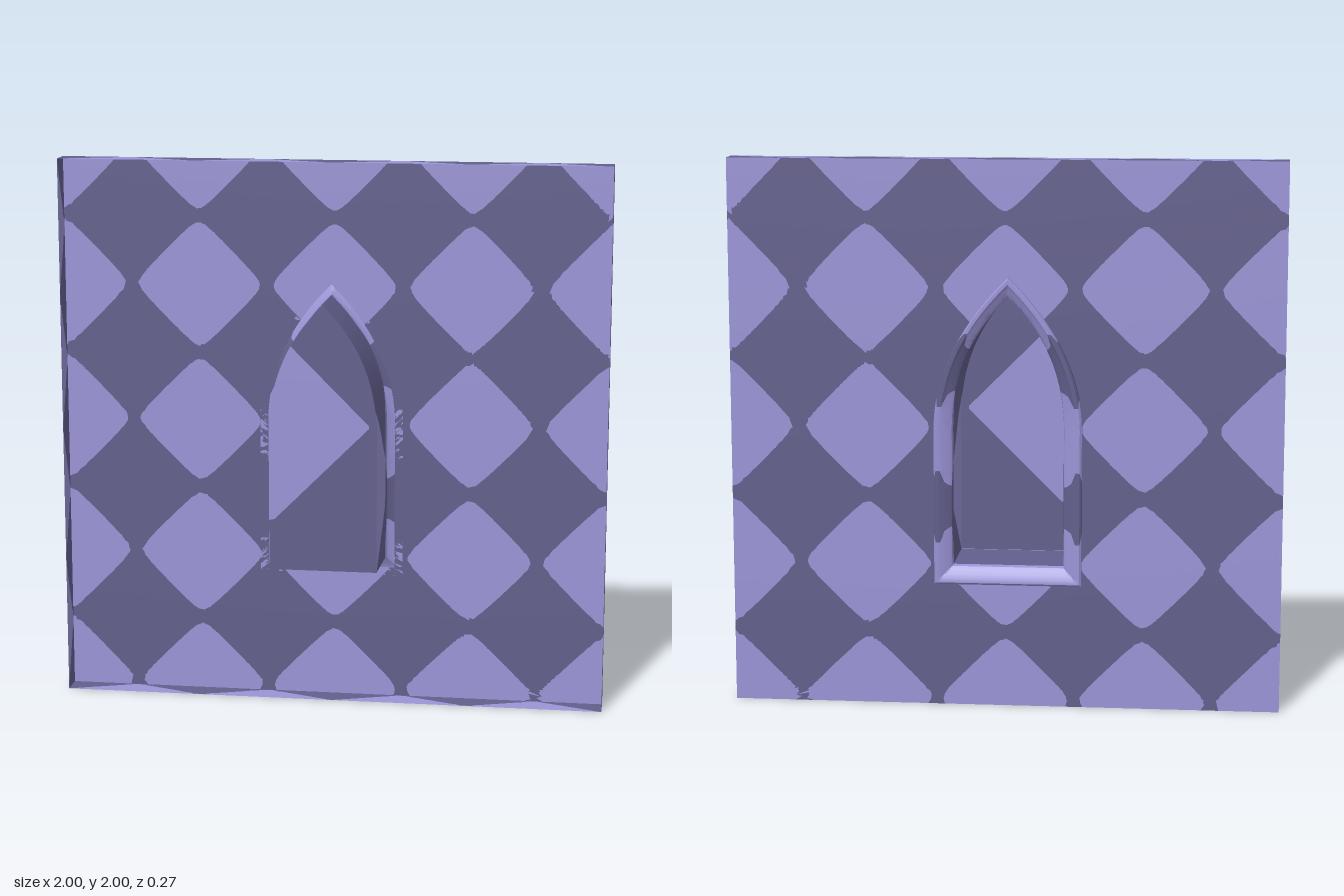
import * as THREE from 'three';
import { toCreasedNormals } from 'three/addons/utils/BufferGeometryUtils.js';

const N = 50;            // points per outline piece
const CX = -0.012;       // centre line of the arch
const BACK = -0.09;      // plane of the wall
const FRONT = 0.135;     // front of the niche

const light = new THREE.MeshStandardMaterial({ color: 0x9a94d6, side: THREE.DoubleSide });
light.name = 'light lavender';
const dark = new THREE.MeshStandardMaterial({ color: 0x625f8c, side: THREE.DoubleSide });
dark.name = 'dark lavender';

const v2 = (x, y) => new THREE.Vector2(x, y);

// Sample five matching pieces so that every outline has the same point count
function sample(pieces) {
  return pieces.flatMap((c) => Array.from({ length: N }, (_, i) => c.getPoint(i / N)));
}

// Pointed arch, grown outward by d
function arch(d) {
  const w = 0.2 + d, b = 0.53 - d, top = 1.51 + 1.1 * d;
  const P = (s, y) => v2(CX + s * w, y);
  const tip = v2(CX, top);
  const spring = 1.03;
  return sample([
    new THREE.LineCurve(P(-1, b), P(1, b)),
    new THREE.LineCurve(P(1, b), P(1, spring)),
    new THREE.QuadraticBezierCurve(P(1, spring), P(1, spring + 0.29), tip),
    new THREE.QuadraticBezierCurve(tip, P(-1, spring + 0.29), P(-1, spring)),
    new THREE.LineCurve(P(-1, spring), P(-1, b)),
  ]);
}

// Outer square, divided to match the arch pieces
function square() {
  const c = [v2(-1, 0), v2(1, 0), v2(1, 2), v2(0, 2), v2(-1, 2), v2(-1, 0)];
  return sample(c.slice(1).map((p, i) => new THREE.LineCurve(c[i], p)));
}

const ringAt = (outline, z) => outline.map((p) => new THREE.Vector3(p.x, p.y, z));

// Rings blended from a to b
function blend(a, b, steps) {
  return Array.from({ length: steps + 1 }, (_, k) =>
    a.map((p, i) => p.clone().lerp(b[i], k / steps)));
}

// Keep the part of a polygon where sign * f >= 0
function clip(poly, sign) {
  const out = [];
  poly.forEach((a, i) => {
    const b = poly[(i + 1) % poly.length];
    const fa = a.f * sign, fb = b.f * sign;
    if (fa >= 0) out.push(a);
    if ((fa > 0 && fb < 0) || (fa < 0 && fb > 0)) {
      // cut from the same end each time so neighbouring triangles agree
      const [p, q] = a.f > 0 ? [a, b] : [b, a];
      out.push({ p: p.p.clone().lerp(q.p, p.f / (p.f - q.f)), f: 0 });
    }
  });
  return out;
}

// Skin a stack of closed rings; field > 0 is light, otherwise dark
function loft(name, rings, field) {
  const parts = [[], []];
  const add = (tri) => [1, -1].forEach((sign, m) => {
    const poly = clip(tri, sign);
    for (let i = 1; i < poly.length - 1; i++) {
      const t = [poly[0].p, poly[i].p, poly[i + 1].p];
      if (new THREE.Triangle(...t).getArea() > 1e-9) t.forEach((p) => parts[m].push(p.x, p.y, p.z));
    }
  });
  const R = rings.map((r) => r.map((p) => ({ p, f: field(p) || -1e-6 })));
  for (let k = 0; k < R.length - 1; k++) {
    for (let i = 0; i < R[k].length; i++) {
      const j = (i + 1) % R[k].length;
      add([R[k][i], R[k][j], R[k + 1][j]]);
      add([R[k][i], R[k + 1][j], R[k + 1][i]]);
    }
  }
  const geo = new THREE.BufferGeometry();
  geo.setAttribute('position', new THREE.Float32BufferAttribute(parts[0].concat(parts[1]), 3));
  geo.addGroup(0, parts[0].length / 3, 0);
  geo.addGroup(parts[0].length / 3, parts[1].length / 3, 1);
  const mesh = new THREE.Mesh(toCreasedNormals(geo, 0.6), [light, dark]);
  mesh.name = name;
  return mesh;
}

// Diamond lattice on the wall
const wave = (t, period) => Math.cos((2 * Math.PI * t) / period);
const wallField = (p) => wave(p.x, 0.5) + wave(p.y - 1.035, 0.505) - 0.05;

// Row of triangles along the edge strips
const edgeField = (p) => {
  const along = Math.abs(p.x) > 0.9999 ? p.y : p.x;
  return wave(along - 0.25, 0.5) + wave(p.z, 0.18);
};

// One large diamond on the niche front, slanted patches on its sides
const nicheFront = (p) => 0.36 - Math.abs(p.x + 0.2) - Math.abs(p.y - 1.07);
const nicheSide = (p) => {
  const depth = FRONT - p.z;
  return Math.min(1.13 - depth - p.y, p.y - 0.53 - 0.9 * depth);
};

// Broken bands on the moulding
const frameField = (p) => wave(p.y - 1.0, 0.5) + wave(p.z + 0.115, 0.1) - 0.4;

export function createModel() {
  const model = new THREE.Group();
  model.name = 'wallNiche';

  // wall sheet with an arched opening
  const border = square();
  model.add(loft('wall', blend(ringAt(arch(0.035), BACK), ringAt(border, BACK), 26), wallField));

  // shallow rim around the wall, open to the front
  model.add(loft('wallRim', blend(ringAt(border, BACK), ringAt(border, 0), 6), edgeField));

  // hollow moulding around the opening on the back: [growth, z]
  const profile = [
    [0.035, BACK], [0.065, BACK], [0.067, -0.1], [0.067, -0.128], [0.06, -0.135],
    [0.045, -0.135], [0.03, -0.125], [0.012, -0.12], [0.003, -0.112], [0, BACK],
  ];
  model.add(loft('archFrame', profile.map(([d, z]) => ringAt(arch(d), z)), frameField));

  // recess pushed through the opening
  const mouth = ringAt(arch(0), BACK);
  const end = ringAt(arch(-0.004), FRONT);
  const middle = end.map((p) => new THREE.Vector3(CX, THREE.MathUtils.clamp(p.y, 0.85, 1.15), FRONT));
  model.add(loft('nicheSides', blend(mouth, end, 10), nicheSide));
  model.add(loft('nicheFront', blend(end, middle, 10), nicheFront));

  return model;
}
